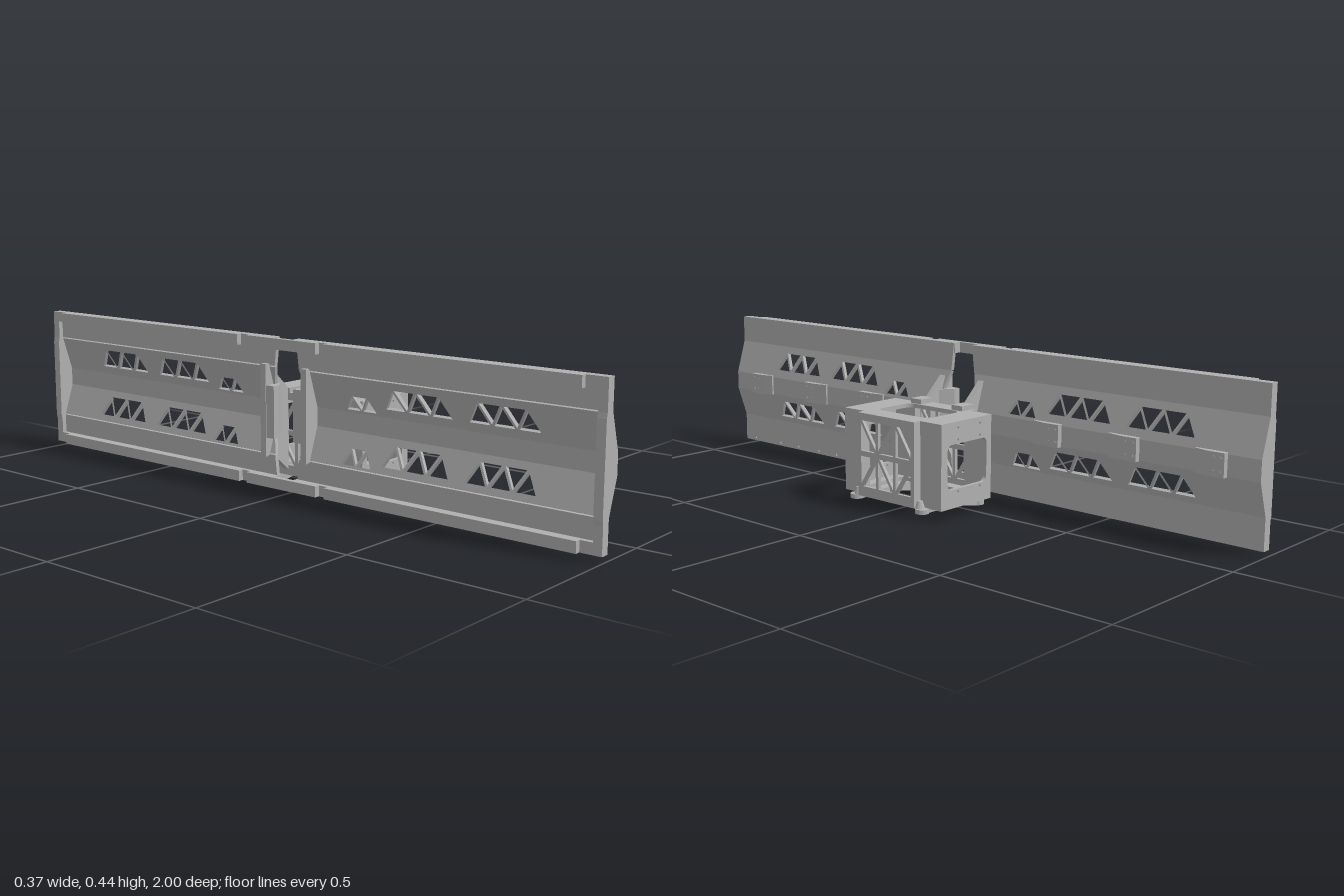
import * as THREE from 'three';

const grey = new THREE.MeshStandardMaterial({ color: 0xb0b0b0 });
grey.name = 'machinedGrey';
const V3 = (x, y, z) => new THREE.Vector3(x, y, z);

function add(parent, name, geometry) {
  const mesh = new THREE.Mesh(geometry, grey);
  mesh.name = name;
  parent.add(mesh);
  return mesh;
}

// box given by its limits
function block(parent, name, x0, x1, y0, y1, z0, z1) {
  const g = new THREE.BoxGeometry(Math.abs(x1 - x0), Math.abs(y1 - y0), Math.abs(z1 - z0));
  g.translate((x0 + x1) / 2, (y0 + y1) / 2, (z0 + z1) / 2);
  return add(parent, name, g);
}

const poly = pts => pts.map(p => new THREE.Vector2(p[0], p[1]));
const circle = (x, y, r) => new THREE.Path().absarc(x, y, r, 0, Math.PI * 2, true);
const triHole = pts => new THREE.Path(poly(pts));

function roundHole(x0, x1, y0, y1, r) {
  const p = new THREE.Path();
  p.absarc(x1 - r, y1 - r, r, 0, Math.PI / 2);
  p.absarc(x0 + r, y1 - r, r, Math.PI / 2, Math.PI);
  p.absarc(x0 + r, y0 + r, r, Math.PI, Math.PI * 1.5);
  p.absarc(x1 - r, y0 + r, r, Math.PI * 1.5, Math.PI * 2);
  return p;
}

// flat plate: outline in (u, v), placed at origin, thickness along u x v
function plate(parent, name, pts, holes, depth, origin, u, v) {
  const shape = new THREE.Shape(poly(pts));
  shape.holes = holes;
  const g = new THREE.ExtrudeGeometry(shape, { depth, bevelEnabled: false, curveSegments: 5 });
  const m = new THREE.Matrix4().makeBasis(u, v, u.clone().cross(v)).setPosition(origin);
  return add(parent, name, g.applyMatrix4(m));
}

// shrink a triangle about its centroid
function shrink(pts, k) {
  const cx = (pts[0][0] + pts[1][0] + pts[2][0]) / 3;
  const cy = (pts[0][1] + pts[1][1] + pts[2][1]) / 3;
  return pts.map(p => [cx + (p[0] - cx) * k, cy + (p[1] - cy) * k]);
}

// row of alternating triangular windows
function truss(u0, u1, v0, v1, n) {
  const p = (u1 - u0) * 2 / (n + 1), out = [];
  for (let i = 0; i < n; i++) {
    const a = u0 + i * p / 2;
    const [lo, hi] = i % 2 ? [v1, v0] : [v0, v1];
    out.push(triHole(shrink([[a, lo], [a + p, lo], [a + p / 2, hi]], 0.84)));
  }
  return out;
}

// grid of cells, each split by a diagonal into two triangular windows
function lattice(u0, u1, v0, v1, cols, rows) {
  const w = (u1 - u0) / cols, h = (v1 - v0) / rows, out = [];
  for (let i = 0; i < cols; i++) for (let j = 0; j < rows; j++) {
    const a = u0 + i * w, b = a + w, c = v0 + j * h, d = c + h;
    const tris = (i + j) % 2 ? [[[a, c], [b, c], [b, d]], [[a, c], [b, d], [a, d]]]
      : [[[a, c], [b, c], [a, d]], [[b, c], [b, d], [a, d]]];
    tris.forEach(t => out.push(triHole(shrink(t, 0.78))));
  }
  return out;
}

// front surface of the long panel, top to bottom, with the inner edge z
const profile = [
  [-0.146, 0.443, 0.035], [-0.146, 0.36, 0.045], [-0.114, 0.257, 0.075],
  [-0.114, 0.2, 0.075], [-0.146, 0.105, 0.045], [-0.146, 0.017, 0.035]];

function buildPanelHalf(s) {
  const g = new THREE.Group();
  g.name = s > 0 ? 'frontPanelHalf' : 'rearPanelHalf';
  const Z = V3(0, 0, 1);

  // folded sheet made of five bands
  for (let i = 0; i < 5; i++) {
    const [xt, yt, zt] = profile[i], [xb, yb, zb] = profile[i + 1];
    const dir = V3(xt - xb, yt - yb, 0), len = dir.length();
    dir.normalize();
    const v = y => (y - yb) / (yt - yb) * len;
    const rows = { 1: [0.28, 0.342, 0.264, 0.308], 3: [0.12, 0.182, 0.109, 0.158] }[i];
    const holes = [];
    if (rows) {
      const spans = [[0.59, 0.81, 0, 5], [0.325, 0.55, 0, 5], [0.19, 0.3, 2, 3]];
      for (const [a, b, k, n] of spans) {
        const [u0, u1] = s > 0 ? [a, b] : [-b, -a];
        holes.push(...truss(u0, u1, v(rows[k]), v(rows[k + 1]), n));
      }
    } else if (i !== 2) {
      for (const z of [0.95, 0.82, 0.73, 0.63, 0.545, 0.49, 0.37, 0.29, 0.21])
        holes.push(circle(s * z, v(i ? 0.028 : 0.432), 0.004));
    }
    plate(g, 'panelBand', [[s * zb, 0], [s, 0], [s, len], [s * zt, len]], holes, 0.012,
      V3(xb, yb, 0), Z, dir);
  }

  // end rib closing the hollow back
  const end = [[-0.172, 0.443], [-0.172, 0.36], [-0.175, 0.345], [-0.175, 0.105], [-0.172, 0.09],
    [-0.172, 0.017], [-0.147, 0.017], [-0.147, 0.105], [-0.115, 0.2], [-0.115, 0.257],
    [-0.147, 0.36], [-0.147, 0.443]];
  plate(g, 'endRib', end, [], 0.025, V3(0, 0, s > 0 ? 0.975 : -1), V3(1, 0, 0), V3(0, 1, 0));

  // edge lips and mounting rails along the back
  for (const [y0, y1] of [[0.412, 0.443], [0.017, 0.048]]) {
    block(g, 'edgeLip', -0.172, -0.15, y0, y1, s * 0.035, s);
    block(g, 'backRail', -0.188, -0.172, y0, y1, s * 0.16, s * 0.94);
  }

  // tapered pads along the centre line
  for (const [a, b] of [[0.815, 0.906], [0.55, 0.645], [0.295, 0.39]]) {
    const m = a + (b - a) * 0.45;
    plate(g, 'pad', [[s * a, -0.118], [s * b, -0.118], [s * b, -0.098], [s * m, -0.098], [s * a, -0.108]],
      [], 0.064, V3(0, 0.198, 0), V3(0, 0, 1), V3(1, 0, 0));
    for (const y of [0.212, 0.248]) for (const z of [a + 0.06, b - 0.012]) {
      const c = new THREE.CylinderGeometry(0.004, 0.004, 0.002, 10).rotateZ(Math.PI / 2);
      add(g, 'padScrew', c.translate(-0.0975, y, s * z));
    }
  }

  // bracket web joining panel and housing, with its top tab
  const web = [[-0.174, 0.1], [-0.146, 0.105], [-0.078, 0.045], [-0.078, 0.285],
    [-0.142, 0.345], [-0.15, 0.365], [-0.174, 0.365]];
  plate(g, 'bracketWeb', web, [], 0.02, V3(0, 0, s > 0 ? 0.065 : -0.085), V3(1, 0, 0), V3(0, 1, 0));
  block(g, 'bracketTab', -0.08, -0.03, 0.272, 0.286, s * 0.06, s * 0.1);
  // flare from the web into the panel
  plate(g, 'webFlare', [[-0.172, s * 0.036], [-0.15, s * 0.036], [-0.112, s * 0.066], [-0.112, s * 0.085],
    [-0.172, s * 0.085]], [], 0.15, V3(0, 0.305, 0), V3(1, 0, 0), V3(0, 0, 1));
  return g;
}

function buildHousing() {
  const g = new THREE.Group();
  g.name = 'housing';
  const X = V3(1, 0, 0), Y = V3(0, 1, 0), Z = V3(0, 0, 1);
  const xa = -0.08, xb = -0.055, xc = 0.153, xd = 0.178, zi = 0.11, zo = 0.188;
  const cross = [[xb, -zo], [xc, -zo], [xc, -zi], [xd, -zi], [xd, zi], [xc, zi],
    [xc, zo], [xb, zo], [xb, zi], [xa, zi], [xa, -zi], [xb, -zi]];

  // top and bottom plates with openings
  plate(g, 'topPlate', cross, [roundHole(-0.025, 0.112, -0.1, 0.1, 0.025)], 0.012, V3(0, 0.272, 0), X, Z);
  plate(g, 'bottomPlate', cross, [roundHole(-0.035, 0.127, -0.14, 0.14, 0.02)], 0.012, V3(0, 0.042, 0), X, Z);

  for (const s of [1, -1]) {
    // end wall with window and screw holes
    const holes = [roundHole(-0.035, 0.127, 0.083, 0.21, 0.016)];
    for (const x of [-0.007, 0.084]) for (const y of [0.074, 0.22, 0.254]) holes.push(circle(x, y, 0.004));
    plate(g, 'endWall', [[xb, 0.036], [xc, 0.036], [xc, 0.272], [xb, 0.272]], holes, 0.012,
      V3(0, 0, s > 0 ? zo - 0.012 : -zo), X, Y);
    // stepped corners
    block(g, 'cornerWall', xb, xb + 0.01, 0.032, 0.271, s * zi, s * (zo - 0.001));
    block(g, 'cornerWall', xc - 0.01, xc, 0.032, 0.271, s * zi, s * (zo - 0.001));
    block(g, 'cornerPost', xa, xb + 0.01, 0.03, 0.271, s * (zi - 0.012), s * zi);
    block(g, 'cornerPost', xc - 0.01, xd, 0.03, 0.271, s * (zi - 0.012), s * zi);

    // sloped foot rail with round bosses
    plate(g, 'footRail', [[-0.075, 0.001], [-0.045, 0.001], [0.04, 0.018], [0.172, 0.018], [0.172, 0.031],
      [-0.075, 0.031]], [], 0.03, V3(0, 0, s * 0.125 - 0.015), X, Y);
    for (const [x, y0, y1, r] of [[-0.067, 0, 0.025, 0.02], [0.165, 0.018, 0.031, 0.02]]) {
      const boss = new THREE.CylinderGeometry(r, r, y1 - y0, 16);
      add(g, 'footBoss', boss.translate(x, (y0 + y1) / 2, s * 0.128));
      const neck = new THREE.CylinderGeometry(0.008, 0.014, 0.02, 12);
      add(g, 'bossNeck', neck.translate(x, y1 + 0.01, s * 0.12));
    }
  }

  // lattice side walls
  for (const x of [xd, xa + 0.01])
    plate(g, 'latticeWall', [[-zi, 0.032], [zi, 0.032], [zi, 0.271], [-zi, 0.271]],
      lattice(-0.102, 0.102, 0.052, 0.258, 3, 2), 0.01, V3(x, 0, 0), Z, Y);
  return g;
}

export function createModel() {
  const model = new THREE.Group();
  model.name = 'panelMount';
  model.add(buildPanelHalf(1), buildPanelHalf(-1), buildHousing());
  // short rails bridging the two panel halves
  for (const [y0, y1] of [[0.412, 0.443], [0.017, 0.048]])
    block(model, 'bridgeRail', -0.188, -0.172, y0, y1, -0.13, 0.13);
  return model;
}
